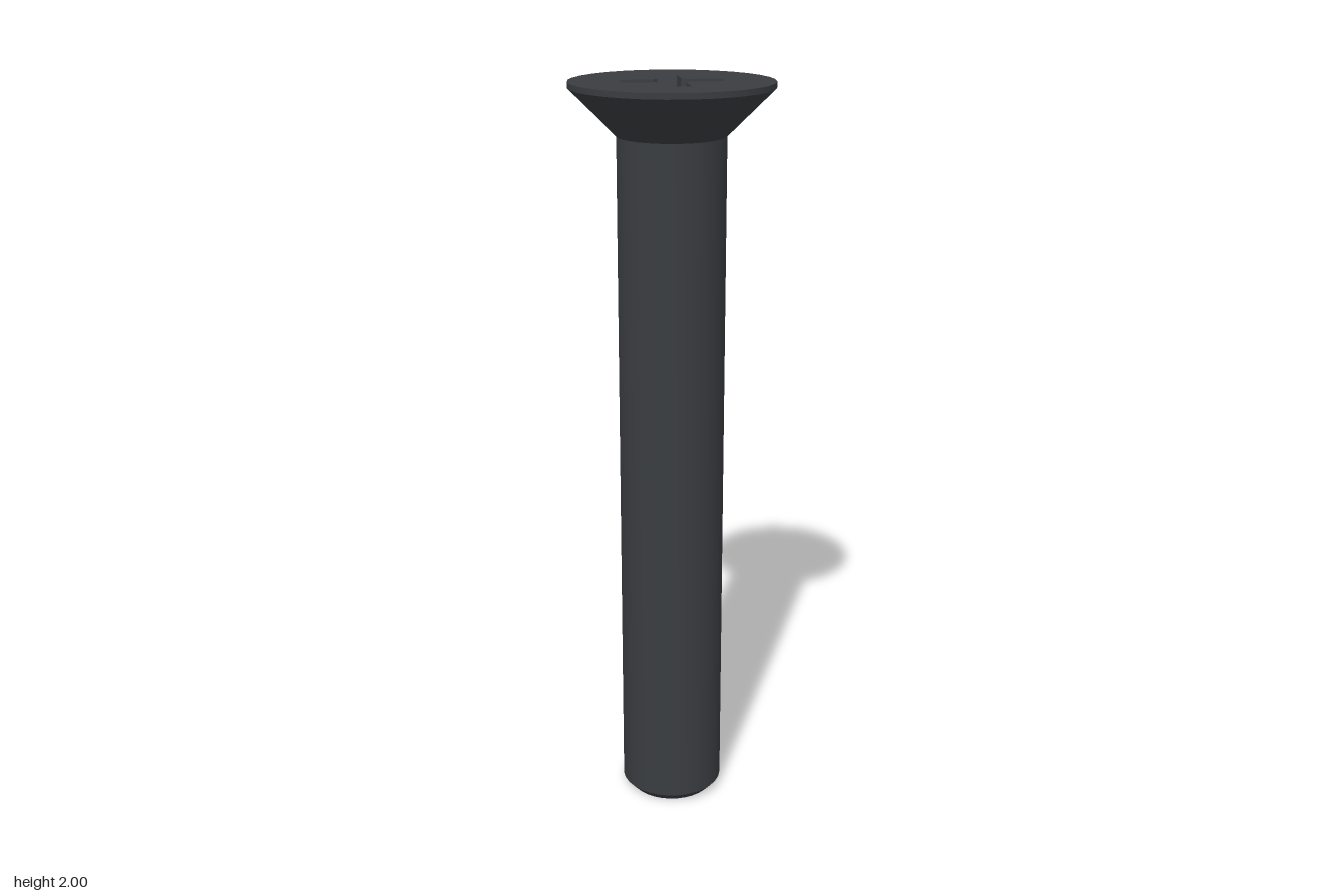
import * as THREE from 'three';
import { toCreasedNormals } from 'three/addons/utils/BufferGeometryUtils.js';

const SIDES = 32;
const HEAD_R = 0.262, SHAFT_R = 0.14, TOP = 2, FLOOR = 1.88, PIT_R = 0.035;

// Cross outline, counter-clockwise: arm length, arm half-width, start of the bevelled inner corner
function crossLoop(length, width, corner) {
  const points = [];
  for (let q = 0; q < 4; q++) {
    for (const [x, y] of [[length, width], [corner, width], [width, corner], [width, length]]) {
      points.push(new THREE.Vector2(x, y).rotateAround(new THREE.Vector2(), q * Math.PI / 2));
    }
  }
  return points;
}

function circleLoop(radius) {
  return Array.from({ length: SIDES }, (_, i) => {
    const a = i / SIDES * Math.PI * 2;
    return new THREE.Vector2(radius * Math.cos(a), radius * Math.sin(a));
  });
}

// Flat, upward-facing plate with a hole
function plate(outline, hole, y) {
  const shape = new THREE.Shape(outline);
  shape.holes.push(new THREE.Path(hole));
  return new THREE.ShapeGeometry(shape).rotateX(-Math.PI / 2).translate(0, y, 0);
}

// Inward-facing walls joining an upper loop to a lower loop
function walls(upper, yUpper, lower, yLower) {
  const positions = [];
  upper.forEach((p, i) => {
    const j = (i + 1) % upper.length;
    const a = [p.x, yUpper, -p.y], b = [upper[j].x, yUpper, -upper[j].y];
    const c = [lower[j].x, yLower, -lower[j].y], d = [lower[i].x, yLower, -lower[i].y];
    positions.push(...a, ...b, ...d, ...b, ...c, ...d);
  });
  const geometry = new THREE.BufferGeometry();
  geometry.setAttribute('position', new THREE.Float32BufferAttribute(positions, 3));
  geometry.computeVertexNormals();
  return geometry;
}

function lathe(profile) {
  const points = profile.map(([r, y]) => new THREE.Vector2(r, y));
  return toCreasedNormals(new THREE.LatheGeometry(points, SIDES), 0.5);
}

export function createModel() {
  const group = new THREE.Group();
  group.name = 'countersunkScrew';
  const material = new THREE.MeshStandardMaterial({ color: 0x3a3d41 });
  const add = (name, geometry) => {
    const mesh = new THREE.Mesh(geometry, material);
    mesh.name = name;
    group.add(mesh);
  };

  // Shaft with a chamfered tip
  add('shaft', lathe([[0, 0], [0.117, 0], [SHAFT_R, 0.025], [SHAFT_R, 1.865]]));

  // Countersunk cone and thin rim
  add('head', lathe([[SHAFT_R, 1.865], [HEAD_R, 1.985], [HEAD_R, TOP]]));

  // Cross-shaped drive recess, tapering to a conical pit
  const mouth = crossLoop(0.13, 0.031, 0.043);
  const base = crossLoop(0.076, 0.02, 0.031);
  add('headTop', plate(circleLoop(HEAD_R), mouth, TOP));
  add('recessWalls', walls(mouth, TOP, base, FLOOR));
  add('recessFloor', plate(base, circleLoop(PIT_R), FLOOR));
  add('recessPit', lathe([[PIT_R, FLOOR], [0, FLOOR - 0.015]]));

  return group;
}
